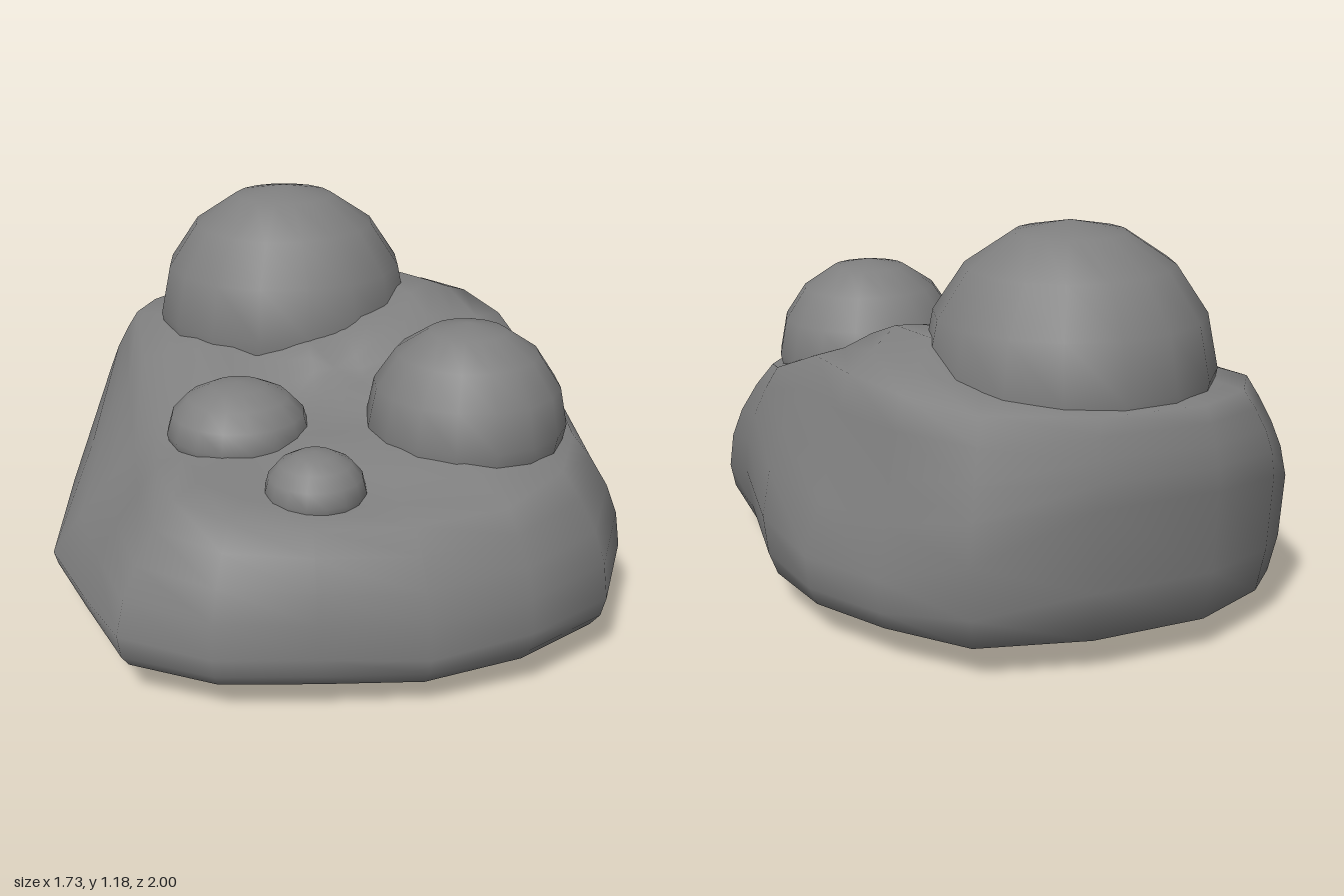
import * as THREE from 'three';
import { mergeVertices } from 'three/addons/utils/BufferGeometryUtils.js';

// Rim columns, clockwise from the back:
// widest point x, z, y then shoulder x, z, y then roundness of the side (1 = straight)
const COLUMNS = [
  [0.10, -1.00, 0.50, 0.08, -0.95, 0.74, 2],
  [0.44, -0.94, 0.36, 0.39, -0.87, 0.75, 1.3],
  [0.64, -0.73, 0.27, 0.55, -0.67, 0.77, 0.9],
  [0.79, -0.50, 0.27, 0.64, -0.46, 0.78, 0.9],
  [0.86, -0.23, 0.30, 0.68, -0.20, 0.77, 1.6],
  [0.84, 0.20, 0.30, 0.73, 0.18, 0.64, 2],
  [0.85, 0.51, 0.22, 0.70, 0.45, 0.58, 2],
  [0.69, 0.80, 0.20, 0.58, 0.68, 0.565, 2],
  [0.41, 0.95, 0.20, 0.36, 0.84, 0.54, 2],
  [0.10, 0.998, 0.18, 0.08, 0.88, 0.53, 2.2],
  [-0.21, 0.96, 0.20, -0.20, 0.86, 0.54, 2.2],
  [-0.49, 0.90, 0.20, -0.42, 0.78, 0.55, 2],
  [-0.73, 0.75, 0.22, -0.55, 0.62, 0.56, 1.7],
  [-0.80, 0.40, 0.18, -0.56, 0.35, 0.55, 1.3],
  [-0.865, 0.08, 0.17, -0.52, 0.06, 0.57, 1.1],
  [-0.77, -0.29, 0.25, -0.52, -0.28, 0.67, 1.1],
  [-0.61, -0.70, 0.42, -0.50, -0.64, 0.72, 1.6],
  [-0.50, -0.83, 0.47, -0.42, -0.78, 0.72, 2],
  [-0.26, -0.965, 0.50, -0.24, -0.91, 0.73, 2],
];

// Heights of the upper face: x, z, y
const HEIGHTS = [
  [0, -0.06, 0.78], [0.2, -0.12, 0.83], [-0.25, -0.15, 0.74], [0.42, -0.32, 0.88],
  [0.4, -0.14, 0.85], [-0.4, -0.45, 0.75], [0, -0.92, 0.76], [0.38, -0.8, 0.79],
  [0.32, 0, 0.78], [0.57, 0, 0.72], [0.45, 0.1, 0.67], [0.08, 0.12, 0.67],
  [-0.2, 0.03, 0.63], [-0.08, 0.2, 0.6], [-0.3, 0.4, 0.58], [0.05, 0.4, 0.62],
  [0.05, 0.75, 0.55], [0.3, 0.68, 0.625], [0.6, 0.45, 0.61], [-0.45, 0.2, 0.58],
  [-0.15, 0.8, 0.55], [-0.4, 0.6, 0.57],
];

function topHeight(x, z) {
  let sum = 0, total = 0;
  for (const [px, pz, py] of HEIGHTS) {
    const w = 1 / ((x - px) ** 2 + (z - pz) ** 2 + 0.015) ** 2;
    sum += w * py;
    total += w;
  }
  return sum / total;
}

// Underside is a shallow bowl with its lowest point near the front
function baseHeight(x, z) {
  return 0.045 + 0.06 * z ** 4 - 0.047 * Math.exp(-((x - 0.1) ** 2 + (z - 0.5) ** 2) / 0.1);
}

function rockGeometry() {
  const rings = [];
  const addRing = (fn) => rings.push(COLUMNS.map(fn));

  // Underside, from its centre out to the rounded lower edge
  for (const s of [0, 0.3, 0.55, 0.83]) {
    addRing(([x, z]) => [x * s, baseHeight(x * s, z * s), z * s]);
  }
  addRing(([x, z, y]) => [x * 0.955, Math.min(0.11, y * 0.5), z * 0.955]);
  addRing(([x, z, y]) => [x * 0.985, 0.1 + (y - 0.1) * 0.4, z * 0.985]);
  addRing(([x, z, y]) => [x, y, z]);

  // Sides, curving in to the shoulder
  for (const t of [0.3, 0.55, 0.8]) {
    addRing(([x, z, y, sx, sz, sy, round]) => {
      const k = t ** round;
      return [x + (sx - x) * k, y + (sy - y) * t, z + (sz - z) * k];
    });
  }

  // Shoulder and upper face, closing at the middle
  for (const t of [0, 0.15, 0.3, 0.45, 0.6, 0.75, 0.88, 1]) {
    addRing(([, , , sx, sz, sy]) => {
      const x = sx + (0.05 - sx) * t;
      const z = sz + (0.05 - sz) * t;
      const w = Math.min(1, t * 3.5);
      return [x, sy + (topHeight(x, z) - sy) * w, z];
    });
  }

  const n = COLUMNS.length;
  const index = [];
  for (let r = 0; r < rings.length - 1; r++) {
    for (let i = 0; i < n; i++) {
      const a = r * n + i, b = r * n + (i + 1) % n;
      const c = b + n, d = a + n;
      if (r < rings.length - 2) index.push(a, d, c);
      else index.push(a, d, b);
      if (r > 0 && r < rings.length - 2) index.push(a, c, b);
    }
  }
  const geometry = new THREE.BufferGeometry();
  geometry.setAttribute('position', new THREE.Float32BufferAttribute(rings.flat(2), 3));
  geometry.setIndex(index);
  const merged = mergeVertices(geometry, 1e-5);
  merged.computeVertexNormals();
  return merged;
}

export function createModel() {
  const group = new THREE.Group();
  group.name = 'bubbledRock';
  const stone = new THREE.MeshStandardMaterial({ color: 0x808080 });
  stone.name = 'greyStone';

  const rock = new THREE.Mesh(rockGeometry(), stone);
  rock.name = 'rockBody';
  group.add(rock);

  // Domes sunk into the upper face: name, x, y, z, radius, height scale
  const domes = [
    ['largeDome', -0.003, 0.755, -0.492, 0.427, 1],
    ['mediumDome', 0.38, 0.63, 0.375, 0.304, 1],
    ['smallDome', -0.29, 0.59, 0.212, 0.219, 0.7],
    ['tinyDome', -0.145, 0.56, 0.642, 0.146, 0.8],
  ];
  for (const [name, x, y, z, radius, flatten] of domes) {
    const dome = new THREE.Mesh(new THREE.SphereGeometry(radius, 16, 8), stone);
    dome.name = name;
    dome.position.set(x, y, z);
    dome.scale.y = flatten;
    group.add(dome);
  }
  return group;
}
